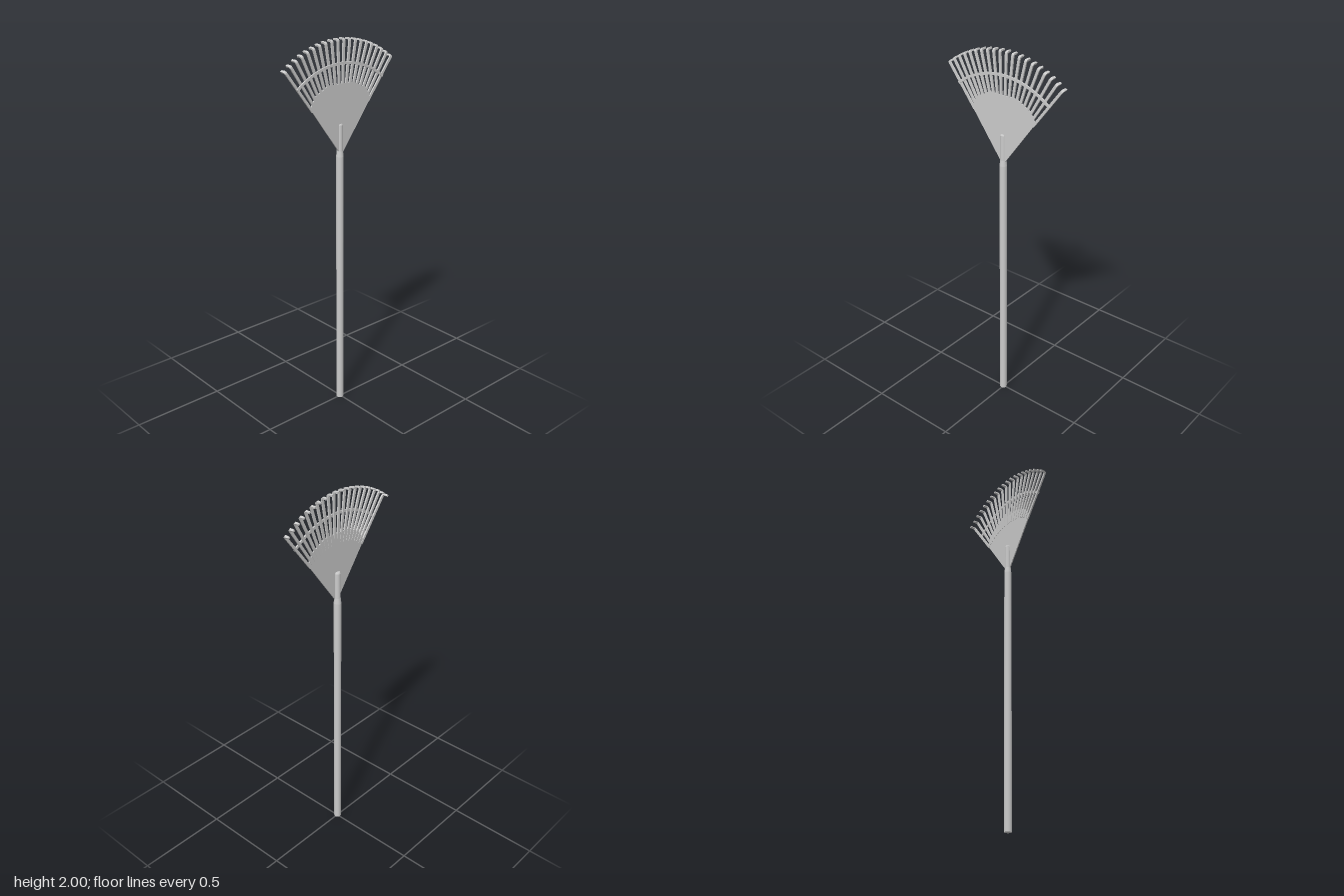
import * as THREE from 'three';

const PIVOT_Y = 1.43;      // where all tines converge
const SPREAD = THREE.MathUtils.degToRad(37.5);
const TINES = 20;

export function createModel() {
  const rake = new THREE.Group();
  rake.name = 'leafRake';
  const material = new THREE.MeshStandardMaterial({ color: 0xcccccc });

  const add = (name, geometry, x, y, z, parent = rake) => {
    const mesh = new THREE.Mesh(geometry, material);
    mesh.name = name;
    mesh.position.set(x, y, z);
    parent.add(mesh);
    return mesh;
  };
  const polar = (r, a) => new THREE.Vector2(r * Math.sin(a), r * Math.cos(a));

  // Long handle, shoulder and the narrower socket that grips the fan
  add('handle', new THREE.CylinderGeometry(0.0195, 0.0195, 1.41, 24), -0.003, 0.705, 0);
  add('shoulder', new THREE.CylinderGeometry(0.016, 0.0195, 0.03, 24), -0.003, 1.425, 0);
  add('socket', new THREE.CylinderGeometry(0.0155, 0.016, 0.133, 24), -0.003, 1.5065, 0);
  add('socketCap', new THREE.CylinderGeometry(0.012, 0.0155, 0.007, 24), -0.003, 1.5765, 0);

  // Flat fan plate with a faceted outer edge
  const right = [[0.322, SPREAD + 0.01], [0.35, 0.49], [0.36, 0.23]].map(([r, a]) => polar(r, a));
  const left = right.map((p) => new THREE.Vector2(-p.x, p.y)).reverse();
  const plate = new THREE.Shape([
    new THREE.Vector2(-0.01, 0), new THREE.Vector2(0.01, 0), ...right, ...left,
  ]);
  add('fanPlate', new THREE.ExtrudeGeometry(plate, { depth: 0.006, bevelEnabled: false }), 0, PIVOT_Y, 0.002);

  // Curved brace running across the front of the tines
  const brace = new THREE.Shape();
  const start = Math.PI / 2 - SPREAD - 0.015;
  const end = Math.PI / 2 + SPREAD + 0.015;
  brace.absarc(0, 0, 0.457, start, end, false);
  brace.absarc(0, 0, 0.444, end, start, true);
  add('brace', new THREE.ExtrudeGeometry(brace, { depth: 0.007, bevelEnabled: false, curveSegments: 24 }), 0, PIVOT_Y, 0.005);

  // One tine: side profile (z, radius) with the tip bent backwards
  const profile = new THREE.Shape();
  profile.moveTo(0, 0.3);
  profile.lineTo(0.008, 0.3);
  profile.lineTo(0.008, 0.555);
  profile.quadraticCurveTo(0.008, 0.57, -0.008, 0.57);
  profile.lineTo(-0.025, 0.57);
  profile.lineTo(-0.025, 0.561);
  profile.lineTo(-0.008, 0.561);
  profile.quadraticCurveTo(0, 0.561, 0, 0.553);
  profile.closePath();
  const width = 0.013;
  const tine = new THREE.ExtrudeGeometry(profile, { depth: width, bevelEnabled: false, curveSegments: 5 });
  tine.translate(0, 0, -width / 2).rotateY(-Math.PI / 2);

  // Narrow the hook slightly towards its end
  const pos = tine.attributes.position;
  for (let i = 0; i < pos.count; i++) {
    const t = Math.max(0, -pos.getZ(i)) / 0.025;
    pos.setX(i, pos.getX(i) * (1 - 0.2 * t));
  }
  tine.computeVertexNormals();

  const tines = new THREE.Group();
  tines.name = 'tines';
  tines.position.y = PIVOT_Y;
  rake.add(tines);
  for (let i = 0; i < TINES; i++) {
    add('tine', tine, 0, 0, 0, tines).rotation.z = SPREAD - (2 * SPREAD * i) / (TINES - 1);
  }
  return rake;
}
